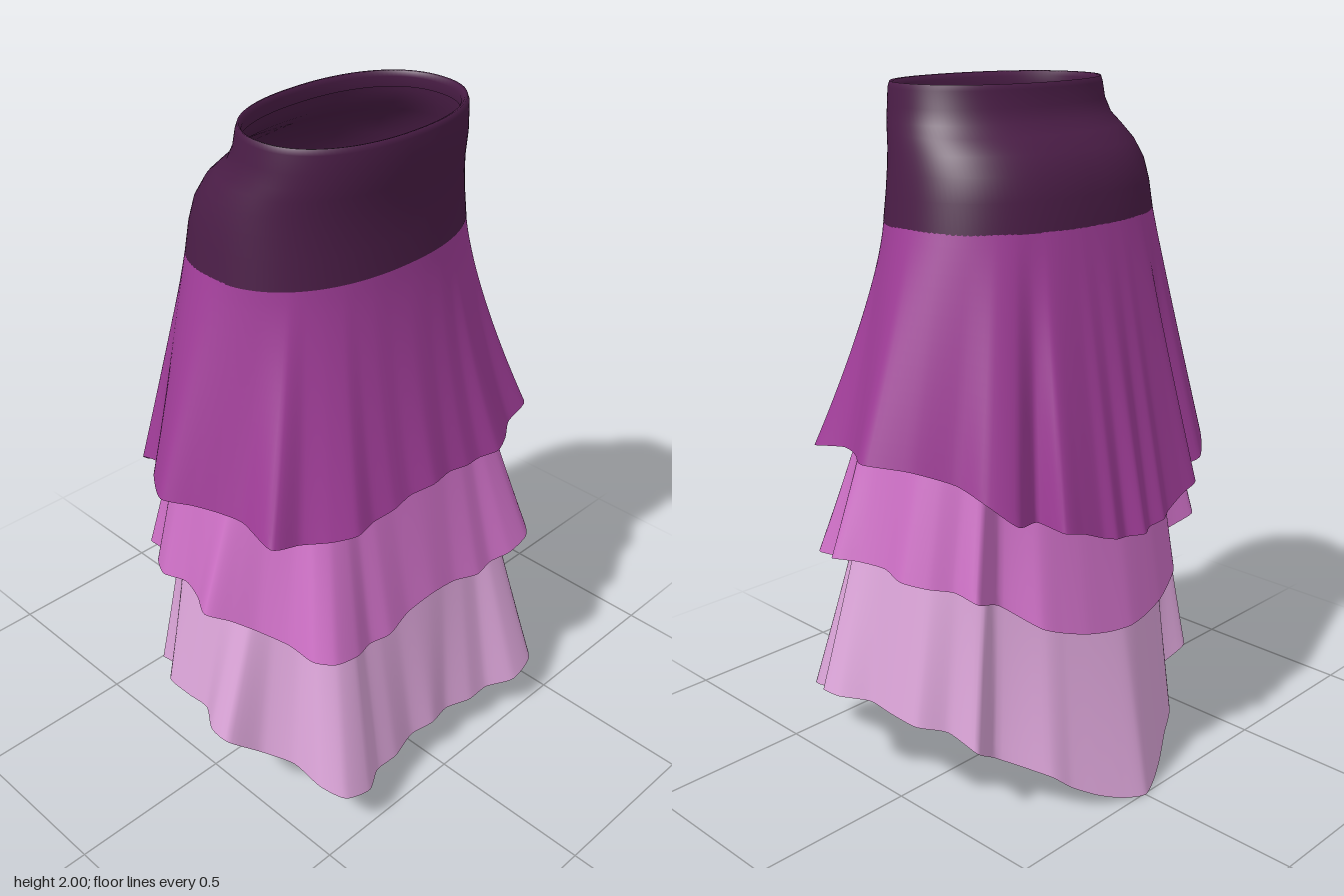
import * as THREE from 'three';

function material(name, color) {
  const m = new THREE.MeshStandardMaterial({ color, side: THREE.DoubleSide });
  m.name = name;
  return m;
}

// Closed skin through rings of equal length, listed from top to bottom
function skin(rings, mat, name) {
  const n = rings[0].length;
  const index = [];
  for (let r = 0; r < rings.length - 1; r++) {
    for (let c = 0; c < n; c++) {
      const a = r * n + c, d = r * n + (c + 1) % n;
      index.push(a, d, a + n, d, d + n, a + n);
    }
  }
  const geo = new THREE.BufferGeometry().setFromPoints(rings.flat());
  geo.setIndex(index);
  geo.computeVertexNormals();
  const mesh = new THREE.Mesh(geo, mat);
  mesh.name = name;
  return mesh;
}

// Point on an oval; angle 0 is the back, growing towards +x.
// A smaller frontPower makes the front half squarer.
function oval(angle, { y, rx, front, back, frontPower = 0.9 }) {
  const power = Math.cos(angle) < 0 ? frontPower : 0.9;
  const soft = v => Math.sign(v) * Math.pow(Math.abs(v), power);
  const x = rx * soft(Math.sin(angle));
  const z = (front + back) / 2 - (front - back) / 2 * soft(Math.cos(angle));
  return new THREE.Vector3(x, y, z);
}

// Waistband rows: height, half width, front z, back z (starting inside the rolled lip)
function waistband(mat) {
  const rows = [
    [1.955, 0.325, 0.285, -0.125], [1.985, 0.318, 0.288, -0.122], [1.998, 0.325, 0.297, -0.126],
    [2.0, 0.332, 0.304, -0.13], [1.985, 0.338, 0.308, -0.134], [1.94, 0.345, 0.306, -0.14],
    [1.9, 0.356, 0.302, -0.158], [1.87, 0.368, 0.297, -0.195], [1.83, 0.382, 0.291, -0.24],
    [1.78, 0.396, 0.287, -0.272], [1.72, 0.408, 0.286, -0.288], [1.64, 0.421, 0.29, -0.298],
  ];
  const n = 120;
  const rings = rows.map(([y, rx, front, back]) =>
    Array.from({ length: n }, (_, i) => oval(i / n * Math.PI * 2, { y, rx, front, back })));
  return skin(rings, mat, 'waistband');
}

// Ruffled tier: blends from an oval at the top to a wavy hem given for the +x half
function tier(name, mat, top, frontHang, half) {
  const mirrored = half.slice(1, -1).reverse().map(([x, z, y]) => [-x, z, y]);
  const pts = [...half, ...mirrored].map(([x, z, y]) => new THREE.Vector3(x, y, z));
  const curve = new THREE.CatmullRomCurve3(pts, true, 'catmullrom', 0.35);
  const n = pts.length * 6, rows = 18, reach = 6;
  const hem = Array.from({ length: n }, (_, i) => curve.getPoint(i / n));
  // Hem with the small ripples averaged out
  const calm = hem.map((_, i) => {
    const sum = new THREE.Vector3();
    for (let k = -reach; k <= reach; k++) sum.add(hem[(i + k + n) % n]);
    return sum.divideScalar(2 * reach + 1);
  });
  const rings = [];
  for (let r = 0; r <= rows; r++) {
    const t = r / rows;
    rings.push(hem.map((h, i) => {
      const angle = Math.atan2(h.x / 0.42, -h.z / 0.3);
      const p = oval(angle, top);
      // The front may hang straighter before it flares; ripples deepen towards the hem
      const flare = Math.pow(t, 1 + frontHang * Math.max(0, -Math.cos(angle)));
      const ripple = Math.pow(t, 1.4);
      return new THREE.Vector3(
        THREE.MathUtils.lerp(p.x, calm[i].x, flare) + (h.x - calm[i].x) * ripple,
        THREE.MathUtils.lerp(top.y, h.y, t),
        THREE.MathUtils.lerp(p.z, calm[i].z, flare) + (h.z - calm[i].z) * ripple);
    }));
  }
  return skin(rings, mat, name);
}

export function createModel() {
  const plum = material('dark plum', 0x4a1d46);
  const purple = material('purple', 0xa03d98);
  const orchid = material('orchid', 0xce70c6);
  const lilac = material('pale lilac', 0xdca5d9);

  // Hem points run from the back centre to the front centre: x, z, height
  const upperHem = [
    [0, -.475, .81], [.05, -.45, .81], [.1, -.46, .82], [.14, -.443, .83], [.21, -.437, .86],
    [.28, -.43, .88], [.29, -.34, .89], [.385, -.365, .91], [.45, -.31, .975], [.47, -.22, 1.01],
    [.55, -.13, 1.045], [.615, -.02, 1.055], [.57, .06, 1.05], [.535, .12, 1.04], [.51, .19, 1.03],
    [.52, .305, 1.01], [.43, .32, .985], [.36, .365, .98], [.29, .395, .98], [.22, .385, .985],
    [.15, .395, .995], [.08, .39, 1.005], [0, .405, 1.01],
  ];
  const middleHem = [
    [0, -.435, .52], [.08, -.425, .525], [.16, -.41, .54], [.23, -.385, .56], [.29, -.355, .585],
    [.35, -.255, .64], [.46, -.29, .69], [.48, -.22, .71], [.53, -.17, .72], [.565, -.1, .73],
    [.55, -.02, .74], [.575, .06, .745], [.61, .13, .745], [.56, .18, .72], [.51, .23, .685],
    [.465, .31, .655], [.455, .39, .64], [.41, .435, .63], [.33, .44, .615], [.26, .42, .605],
    [.19, .43, .602], [.1, .415, .62], [0, .42, .635],
  ];
  const lowerHem = [
    [0, -.505, 0], [.07, -.48, .01], [.14, -.445, .035], [.21, -.405, .075], [.27, -.375, .125],
    [.36, -.25, .17], [.46, -.28, .24], [.485, -.19, .28], [.55, -.13, .3], [.56, -.03, .31],
    [.56, .05, .315], [.61, .13, .32], [.61, .2, .315], [.52, .24, .24], [.465, .32, .21],
    [.46, .42, .19], [.42, .485, .16], [.33, .495, .135], [.25, .45, .125], [.17, .45, .125],
    [.08, .43, .135], [0, .445, .14],
  ];

  const skirt = new THREE.Group();
  skirt.name = 'tieredSkirt';
  skirt.add(
    waistband(plum),
    tier('upperTier', purple, { y: 1.645, rx: 0.42, front: 0.289, back: -0.297 }, 0.5, upperHem),
    tier('middleTier', orchid,
      { y: 1.3, rx: 0.425, front: 0.298, back: -0.305, frontPower: 0.75 }, 0.15, middleHem),
    tier('lowerTier', lilac,
      { y: 0.95, rx: 0.445, front: 0.325, back: -0.325, frontPower: 0.65 }, 0, lowerHem),
  );
  return skirt;
}
